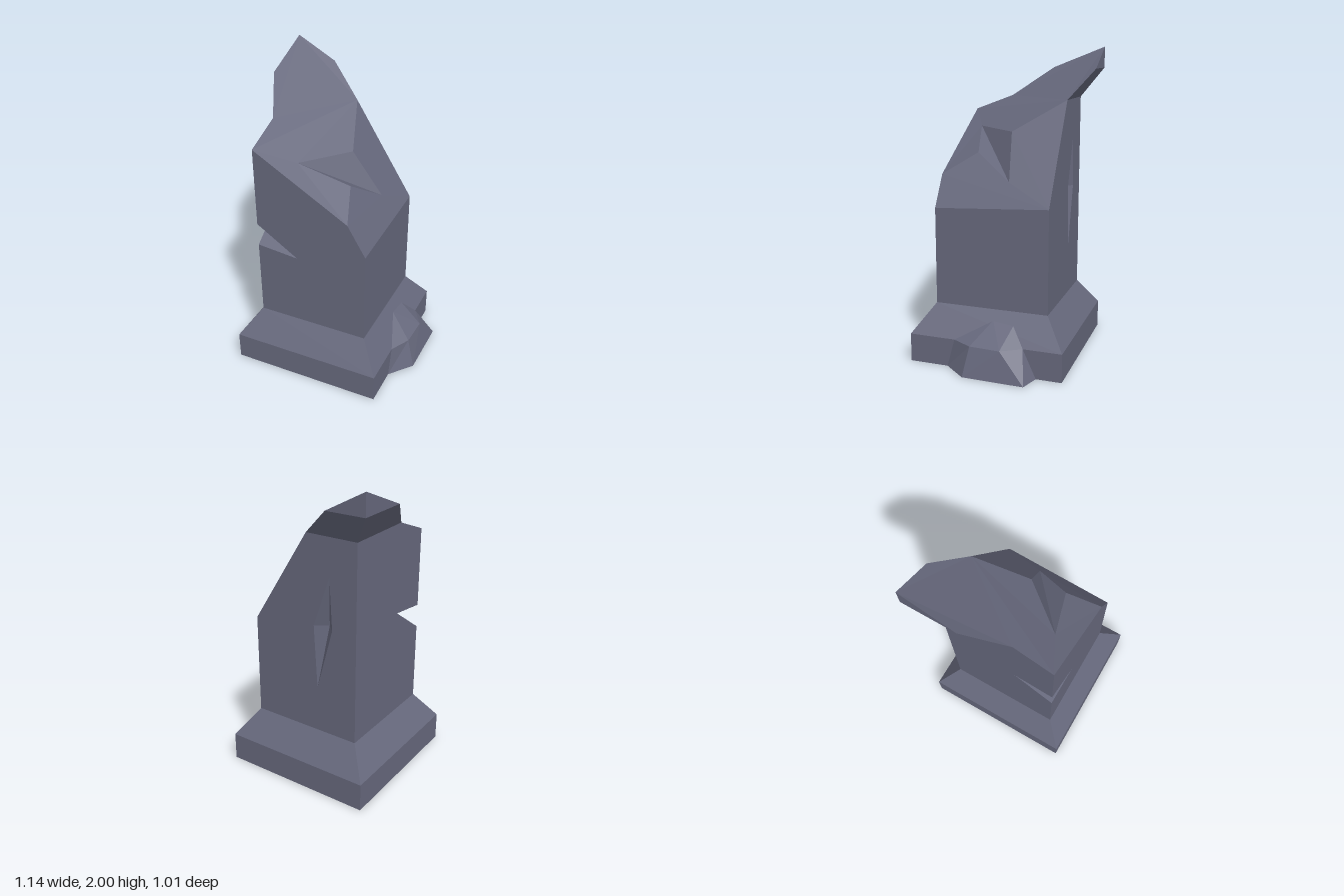
import * as THREE from 'three';

const stone = new THREE.MeshStandardMaterial({ color: 0x66687c, flatShading: true });
stone.name = 'slate stone';

// Triangles of one flat polygon, wound to face the direction "out"
function facet(points, out) {
  const pts = points.map((p) => new THREE.Vector3(...p));
  const n = new THREE.Vector3();
  pts.forEach((p, i) => n.add(new THREE.Vector3().crossVectors(p, pts[(i + 1) % pts.length])));
  const a = n.toArray().map(Math.abs);
  const drop = a.indexOf(Math.max(...a));
  const flat = points.map((p) => new THREE.Vector2(...p.filter((_, i) => i !== drop)));
  const dir = new THREE.Vector3(...out);
  const result = [];
  for (const [i, j, k] of THREE.ShapeUtils.triangulateShape(flat, [])) {
    const cross = new THREE.Vector3().subVectors(pts[j], pts[i])
      .cross(new THREE.Vector3().subVectors(pts[k], pts[i]));
    const order = cross.dot(dir) >= 0 ? [i, j, k] : [i, k, j];
    order.forEach((v) => result.push(...points[v]));
  }
  return result;
}

// One mesh from a list of [corners, outward direction]
function faceted(name, faces) {
  const geometry = new THREE.BufferGeometry();
  const data = faces.flatMap(([points, out]) => facet(points, out));
  geometry.setAttribute('position', new THREE.Float32BufferAttribute(data, 3));
  geometry.computeVertexNormals();
  const mesh = new THREE.Mesh(geometry, stone);
  mesh.name = name;
  return mesh;
}

export function createModel() {
  const group = new THREE.Group();
  group.name = 'brokenPillar';
  const L = -0.44, R = 0.31, F = 0.375, B = -0.375, foot = 0.37;
  const right = [1, 0, 0], left = [-1, 0, 0], front = [0, 0, 1], back = [0, 0, -1];
  const up = [0, 1, 0];

  // Square plinth with a sloped shoulder
  const profile = [[0, 0], [0.505, 0], [0.505, 0.185], [0.375, foot]]
    .map(([r, y]) => new THREE.Vector2(r * Math.SQRT2, y));
  const plinth = new THREE.Mesh(
    new THREE.LatheGeometry(profile, 4, Math.PI / 4).toNonIndexed(), stone);
  plinth.geometry.computeVertexNormals();
  plinth.position.x = -0.065;
  plinth.name = 'plinth';
  group.add(plinth);

  // Rim of the broken top, clockwise from the peak
  const peak = [-0.57, 2, -0.505], backLip = [-0.31, 1.86, -0.505];
  const backNeck = [-0.085, 1.67, B], backRight = [R, 1.04, B];
  const frontRight = [R, 1.0, F], frontBend = [0.19, 1.2, F];
  const frontLeft = [L, 1.57, F], leftNeck = [L, 1.67, 0.11], leftLip = [-0.57, 1.86, -0.15];
  const neck = [L, 1.67, B], lip = [-0.57, 1.86, -0.505];

  // Crack across the broken top
  const ridge = [0.035, 1.47, -0.045], crackStart = [-0.2, 1.475, 0.25];
  const crackEnd = [0.22, 1.175, -0.09], crackBend = [0.11, 1.34, 0.155];

  // Chip in the front left edge
  const chipTop = [L, 1.045, F], chipLow = [L, 0.89, F];
  const chipFront = [-0.16, 0.86, F], chipSide = [L, 1.08, 0.1];

  // Gouge in the back
  const gouge = [[-0.25, 1.425, B], [-0.135, 1.095, B], [-0.16, 0.675, B], [-0.27, 1.09, B]];
  const gougeDeep = [-0.213, 1.09, B + 0.058];

  const [gTop, gRight, gLow, gLeft] = gouge;
  group.add(faceted('shaft', [
    [[[L, foot, F], [R, foot, F], frontRight, frontBend, frontLeft, chipTop, chipFront, chipLow], front],
    [[[R, foot, F], [R, foot, B], backRight, frontRight], right],
    [[[L, foot, F], [L, foot, B], neck, leftNeck, frontLeft, chipTop, chipSide, chipLow], left],
    // back wall in two halves around the gouge
    [[[R, foot, B], backRight, backNeck, gTop, gRight, gLow], back],
    [[[R, foot, B], gLow, gLeft, gTop, backNeck, neck, [L, foot, B]], back],
  ]));

  group.add(faceted('edgeChip', [
    [[chipLow, chipFront, chipSide], up],
    [[chipTop, chipFront, chipSide], [0, -1, 0]],
  ]));

  group.add(faceted('backGouge', gouge.map((p, i) => [[p, gouge[(i + 1) % 4], gougeDeep], back])));

  // Remaining corner of the flared capital
  group.add(faceted('capital', [
    [[neck, backNeck, backLip, lip], back],
    [[neck, leftNeck, leftLip, lip], left],
    [[lip, backLip, peak], back],
    [[lip, leftLip, peak], left],
  ]));

  group.add(faceted('brokenTop', [
    [[peak, backLip, backNeck, ridge, crackStart, crackBend, frontBend, frontLeft, leftNeck, leftLip], up],
    [[backNeck, ridge, crackEnd, crackBend, frontBend, frontRight, backRight], up],
    [[ridge, crackStart, crackEnd], up],
    [[crackStart, crackBend, crackEnd], up],
  ]));

  // Rubble leaning on the plinth: ground ring, shoulder ring and crest
  const g = [[0.44, 0, 0.25], [0.565, 0, 0.1], [0.57, 0, -0.3], [0.44, 0, -0.34]];
  const s = [[0.44, 0.185, 0.2], [0.51, 0.185, 0.07], [0.52, 0.185, -0.13], [0.44, 0.185, -0.255]];
  const c = [[0.35, 0.31, -0.03], [0.355, 0.3, -0.17]];
  group.add(faceted('rubble', [
    [g, [0, -1, 0]],
    [[g[0], g[1], s[1]], [1, 0, 1]],
    [[g[0], s[1], s[0]], [1, 0, 1]],
    [[g[1], g[2], s[2]], right],
    [[g[1], s[2], s[1]], right],
    [[g[2], s[3], s[2]], [1, 0, -1]],
    [[g[2], g[3], s[3]], [0.3, 0, -1]],
    [[s[0], s[1], c[0]], up],
    [[s[1], s[2], c[0]], up],
    [[s[2], c[1], c[0]], up],
    [[s[2], s[3], c[1]], up],
  ]));

  return group;
}
